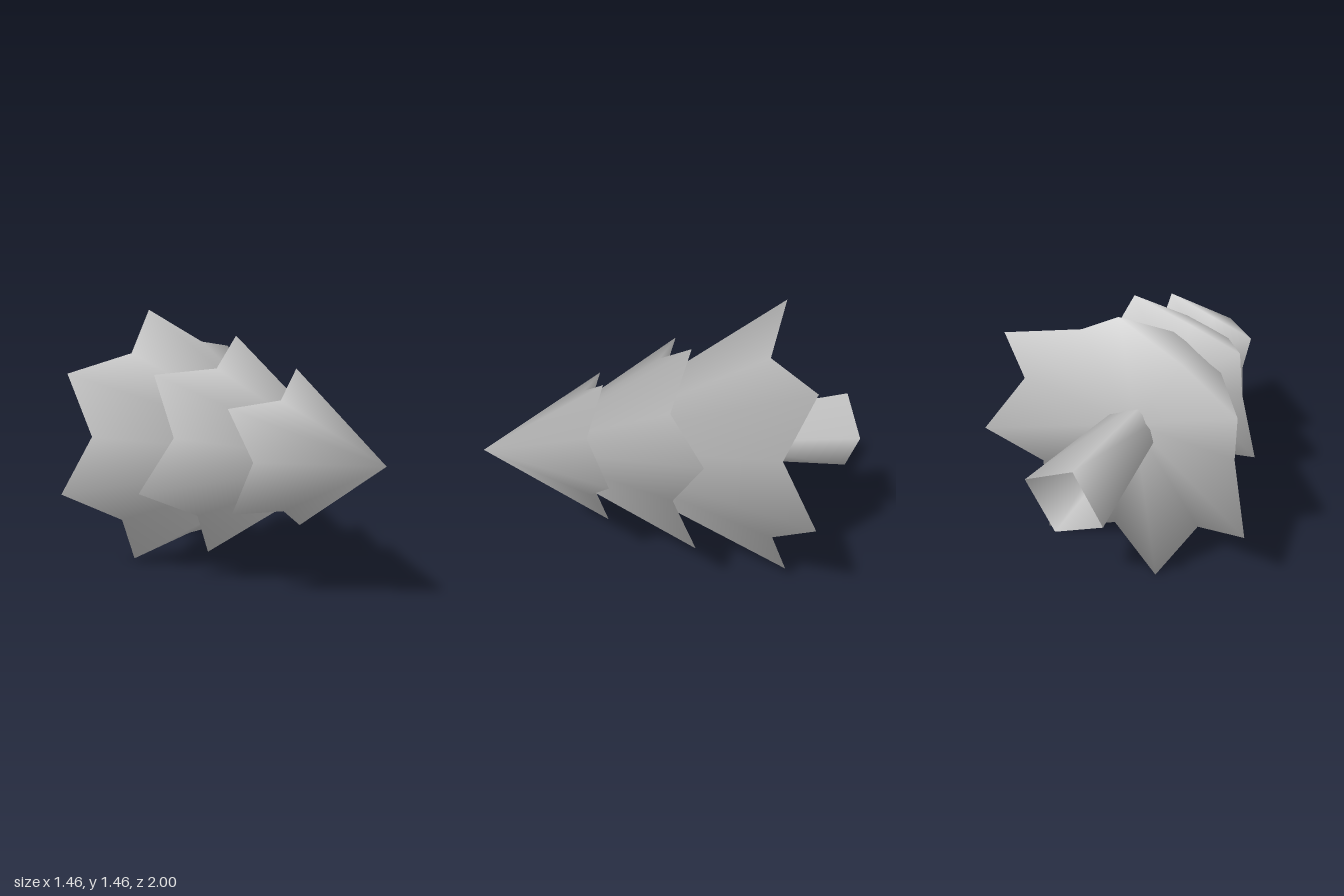
import * as THREE from 'three';

// Star-shaped cone with a hollow underside; soft normals run across the rim
function starCone({ points, phase, apex, tip, notch, hollow }) {
  const pos = [0, 0, apex, 0, 0, hollow];
  const n = points * 2;
  for (let i = 0; i < n; i++) {
    const a = THREE.MathUtils.degToRad(phase) + (i * Math.PI) / points;
    const [r, z] = i % 2 ? notch : tip;
    pos.push(r * Math.cos(a), r * Math.sin(a), z);
  }
  const index = [];
  for (let i = 0; i < n; i++) {
    const a = 2 + i, b = 2 + ((i + 1) % n);
    index.push(0, a, b, 1, b, a);
  }

  // Faces count in each corner's normal by their angle at that corner
  const at = (i) => new THREE.Vector3().fromArray(pos, i * 3);
  const normals = Array.from({ length: n + 2 }, () => new THREE.Vector3());
  for (let f = 0; f < index.length; f += 3) {
    const tri = index.slice(f, f + 3);
    const face = new THREE.Triangle(...tri.map(at)).getNormal(new THREE.Vector3());
    tri.forEach((i, k) => {
      const toNext = at(tri[(k + 1) % 3]).sub(at(i));
      const toLast = at(tri[(k + 2) % 3]).sub(at(i));
      normals[i].addScaledVector(face, toNext.angleTo(toLast));
    });
  }

  const geo = new THREE.BufferGeometry();
  geo.setAttribute('position', new THREE.Float32BufferAttribute(pos, 3));
  geo.setAttribute('normal', new THREE.Float32BufferAttribute(
    normals.flatMap((v) => v.normalize().toArray()), 3));
  geo.setIndex(index);
  return geo;
}

export function createModel() {
  const grey = new THREE.MeshStandardMaterial({ color: 0xcccccc, side: THREE.DoubleSide });
  grey.name = 'plain grey';

  const model = new THREE.Group();
  model.name = 'lyingTree';
  const add = (name, geo) => {
    const mesh = new THREE.Mesh(geo, grey);
    mesh.name = name;
    model.add(mesh);
  };

  // Foliage tiers; tip and notch are [radius, z]
  add('topFoliage', starCone({ points: 5, phase: 2, apex: 1, tip: [0.435, 0.36], notch: [0.29, 0.455], hollow: 0.53 }));
  add('middleFoliage', starCone({ points: 6, phase: 19, apex: 0.84, tip: [0.603, -0.08], notch: [0.445, 0.045], hollow: 0.155 }));
  add('bottomFoliage', starCone({ points: 7, phase: -6, apex: 0.65, tip: [0.755, -0.6], notch: [0.595, -0.46], hollow: -0.33 }));

  // Four-sided open trunk, wider at its foot
  const trunk = new THREE.CylinderGeometry(0.105, 0.207, 0.9, 4, 1, true);
  trunk.rotateX(Math.PI / 2).rotateZ(THREE.MathUtils.degToRad(18)).translate(0, 0, -0.545);
  add('trunk', trunk);

  // Slight lean of the whole tree
  model.rotation.set(-0.015, 0.022, 0);
  model.position.set(-0.005, 0.722, 0);

  const group = new THREE.Group();
  group.name = 'tree';
  group.add(model);
  return group;
}
